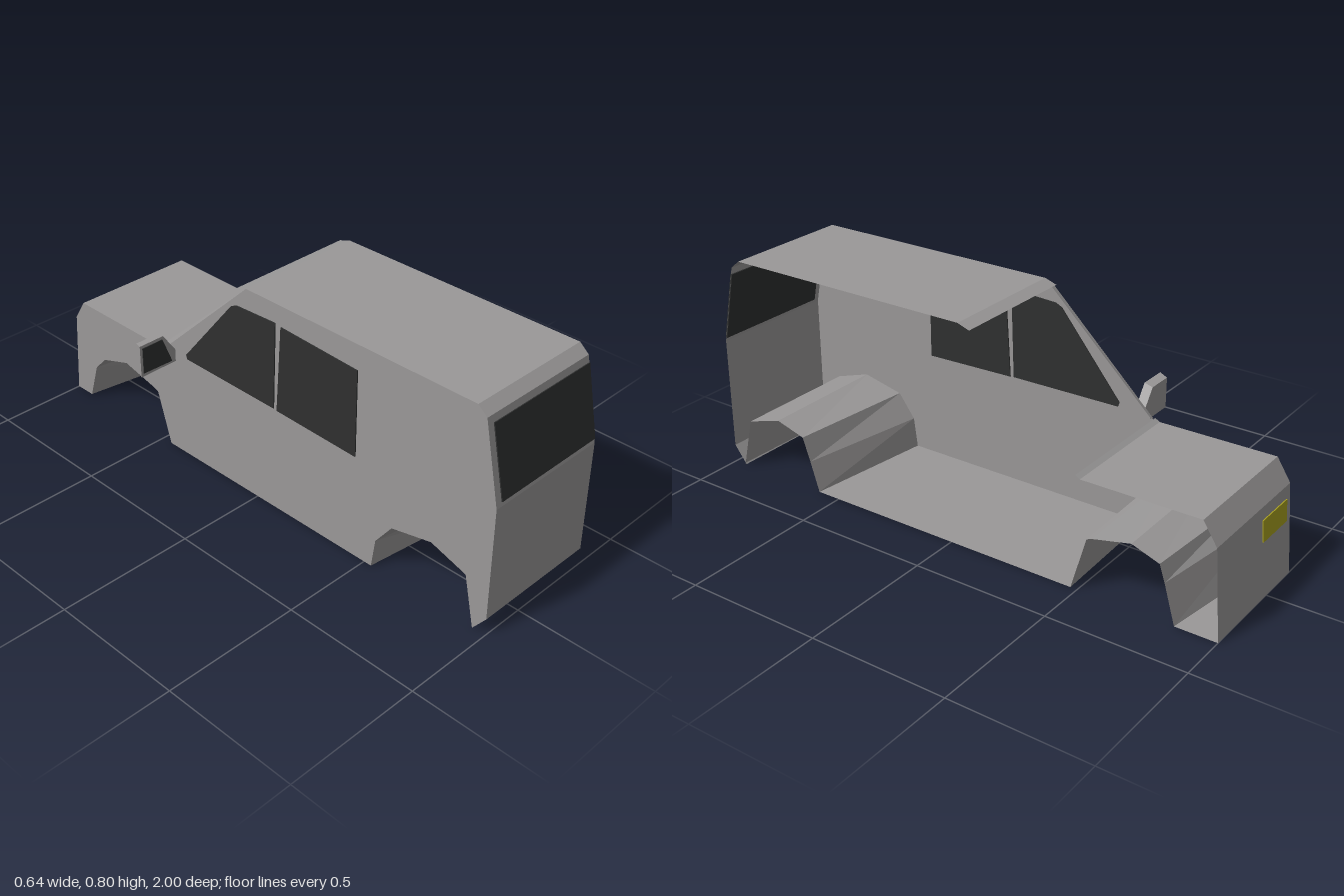
import * as THREE from 'three';

const OUT = -0.165, MID = 0.318; // outer side wall and open cut plane (x)

export function createModel() {
  const group = new THREE.Group();
  const mat = (name, color) => {
    const m = new THREE.MeshStandardMaterial({ color, side: THREE.DoubleSide, flatShading: true });
    m.name = name;
    return m;
  };
  const paint = mat('body grey', 0x9a9898);
  const glass = mat('dark glass', 0x2f3030);
  const lamp = mat('lamp yellow', 0xa8a020);

  const add = (name, geo, material) => {
    const mesh = new THREE.Mesh(geo, material);
    mesh.name = name;
    group.add(mesh);
    return mesh;
  };
  const shapeOf = pts => new THREE.Shape(pts.map(p => new THREE.Vector2(p[0], p[1])));

  // Sheet between two rows of [x, y, z] points
  const strip = (name, a, b) => {
    const pos = [];
    for (let i = 0; i < a.length - 1; i++) {
      pos.push(...a[i], ...b[i], ...b[i + 1], ...a[i], ...b[i + 1], ...a[i + 1]);
    }
    const geo = new THREE.BufferGeometry();
    geo.setAttribute('position', new THREE.Float32BufferAttribute(pos, 3));
    geo.computeVertexNormals();
    return add(name, geo, paint);
  };
  const at = (x, pts) => pts.map(([z, y]) => [x, y, z]);
  // Sheet across the body from an outer to an inner profile of [z, y] points
  const across = (name, outer, inner = outer) => strip(name, at(OUT, outer), at(MID, inner));

  // Thin plate centred on its own plane, showing on both faces
  const plate = (name, pts, material, depth = 0.008) => {
    const geo = new THREE.ExtrudeGeometry(shapeOf(pts), { depth, bevelEnabled: false });
    geo.translate(0, 0, -depth / 2);
    return add(name, geo, material);
  };

  // Profiles as [z, y]
  const rearArchOut = [[0.95, 0], [0.91, 0.187], [0.77, 0.232], [0.61, 0.197], [0.545, 0.11], [0.53, 0]];
  const rearArchIn = [[0.955, 0], [0.91, 0.187], [0.77, 0.23], [0.655, 0.197], [0.625, 0.11], [0.59, 0]];
  const frontArchOut = [[-0.455, 0], [-0.515, 0.195], [-0.55, 0.207], [-0.69, 0.24], [-0.82, 0.197], [-0.875, 0.14], [-0.92, 0]];
  const frontArchIn = [[-0.475, 0], [-0.53, 0.195], [-0.55, 0.203], [-0.69, 0.235], [-0.79, 0.2], [-0.81, 0.14], [-0.85, 0]];
  const nose = [[-1, 0], [-0.975, 0.32], [-0.925, 0.398]];
  const bonnet = [[-0.925, 0.398], [-0.5, 0.396]];
  const cowl = [[-0.5, 0.396], [-0.483, 0.406]];
  const tail = [[0.905, 0.8], [0.94, 0.77], [1, 0.48], [1, 0.065], [0.95, 0]];
  const roofFront = [-0.04, 0.8];

  // Flat side wall
  const wall = new THREE.ShapeGeometry(shapeOf([
    ...rearArchOut, ...frontArchOut, ...nose, bonnet[1], [-0.465, 0.4], roofFront, ...tail.slice(0, 4),
  ]));
  const p = wall.attributes.position;
  for (let i = 0; i < p.count; i++) p.setXYZ(i, OUT, p.getY(i), p.getX(i));
  wall.computeVertexNormals();
  add('sideWall', wall, paint);

  // Sheets running across the body
  across('rearPanel', tail);
  across('roof', [tail[0], roofFront]);
  across('roofHeader', [roofFront, [-0.085, 0.785]]);
  across('nosePanel', nose);
  across('bonnet', bonnet);
  across('cowl', cowl);
  across('rearWheelArch', rearArchOut, rearArchIn);
  across('frontWheelArch', frontArchOut, frontArchIn);
  across('floor', [rearArchOut[5], frontArchOut[0]], [rearArchIn[5], frontArchIn[0]]);
  across('noseFloor', [frontArchOut[6], nose[0]], [frontArchIn[6], nose[0]]);

  // Windscreen pillar
  strip('windscreenPillar',
    at(OUT, [roofFront, [-0.465, 0.4]]),
    at(OUT + 0.01, [[-0.085, 0.785], [-0.483, 0.406]]));

  // Side windows, drawn as [-z, y] and turned onto the wall
  const sideWindows = {
    rearSideWindow: [[-0.45, 0.393], [-0.1, 0.402], [-0.12, 0.725], [-0.45, 0.71]],
    frontSideWindow: [[-0.085, 0.404], [0.34, 0.409], [0.345, 0.425], [0.11, 0.71], [0.085, 0.722], [-0.095, 0.73]],
  };
  for (const [name, pts] of Object.entries(sideWindows)) {
    const w = plate(name, pts, glass);
    w.rotation.y = Math.PI / 2;
    w.position.x = OUT;
  }

  // Tailgate window on the sloping panel
  const rearGlass = plate('tailgateWindow',
    [[-0.14, -0.128], [0.317, -0.128], [0.317, 0.128], [-0.14, 0.128]], glass);
  rearGlass.rotation.x = -Math.atan2(0.06, 0.29);
  rearGlass.position.set(0, 0.62, 0.971);

  // Headlight on the nose
  const light = plate('headlight',
    [[-0.137, -0.038], [0.028, -0.038], [0.028, 0.038], [-0.137, 0.038]], lamp);
  light.rotation.x = Math.atan2(0.025, 0.32);
  light.position.set(0, 0.238, -0.9814);

  // Door mirror: housing narrows towards the nose
  const housing = new THREE.ExtrudeGeometry(shapeOf([
    [-0.32, 0.372], [OUT, 0.372], [OUT, 0.42], [-0.217, 0.494], [-0.32, 0.494],
  ]), { depth: 0.034, bevelEnabled: false });
  const h = housing.attributes.position;
  for (let i = 0; i < h.count; i++) {
    if (h.getZ(i) < 0.01) {
      h.setX(i, OUT + (h.getX(i) - OUT) * 0.92);
      h.setY(i, 0.43 + (h.getY(i) - 0.43) * 0.9);
    }
  }
  housing.translate(0, 0, -0.441);
  housing.computeVertexNormals();
  add('mirrorHousing', housing, paint);
  plate('mirrorGlass', [[-0.31, 0.385], [-0.183, 0.382], [-0.222, 0.483], [-0.31, 0.483]], glass, 0.004)
    .position.z = -0.406;

  return group;
}
